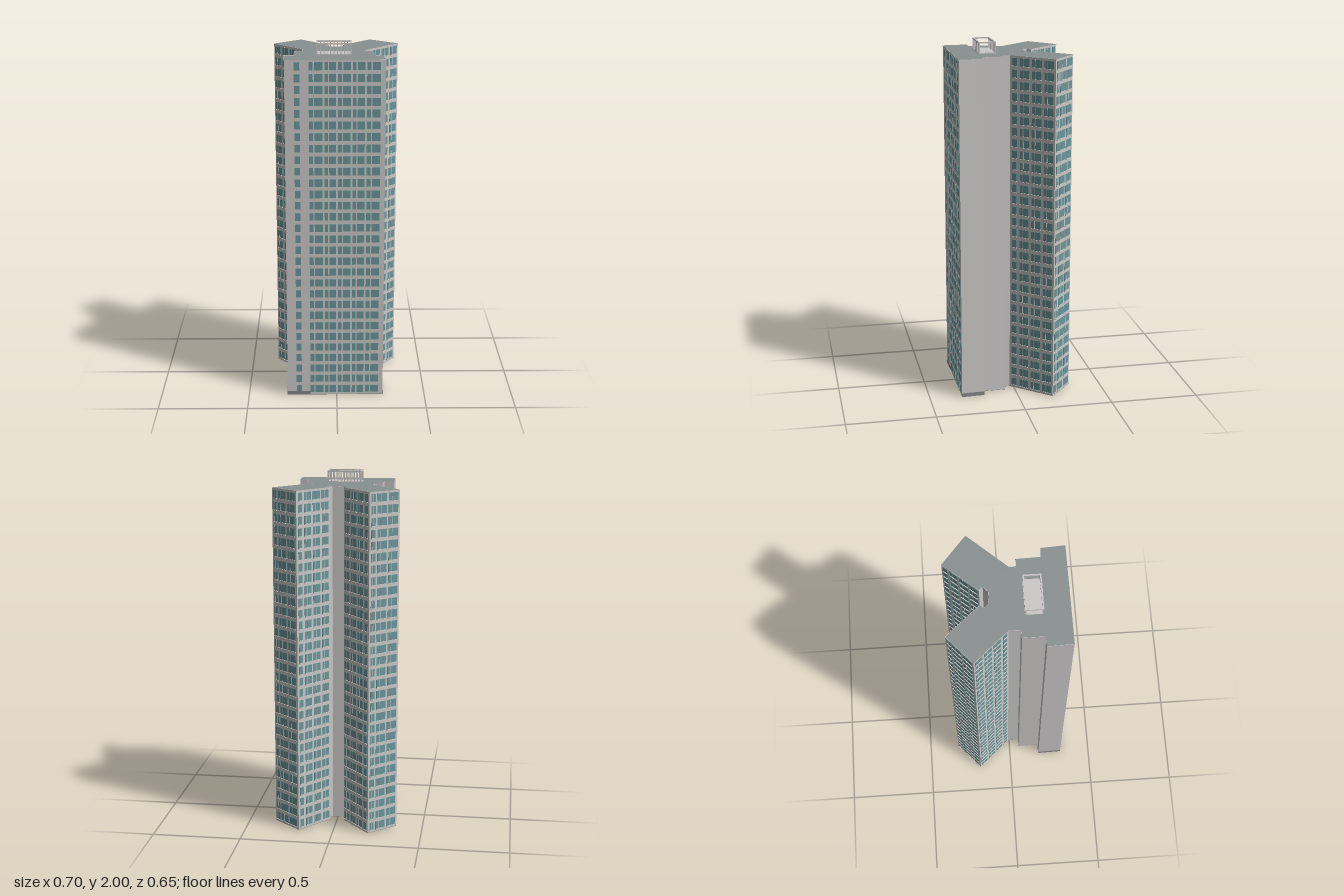
import * as THREE from 'three';
import { mergeGeometries } from 'three/addons/utils/BufferGeometryUtils.js';

const mat = (name, color) => {
  const m = new THREE.MeshStandardMaterial({ color });
  m.name = name;
  return m;
};

const HEIGHT = 1.935, FLOORS = 30, PITCH = 0.0643;

// Footprint corners [x, z], running from the front edge round by the model's left
const PLAN = [
  [-0.28, 0.32], [0.262, 0.317], [0.255, 0.188], [0.205, 0.184], [0.202, 0.057], [0.16, 0.057],
  [0.16, 0.02], [0.35, -0.192], [0.195, -0.324], [0.04, -0.14], [0.06, -0.12], [0.03, -0.093],
  [-0.035, -0.093], [-0.058, -0.12], [-0.04, -0.14], [-0.2, -0.324], [-0.35, -0.19], [-0.187, -0.005],
  [-0.187, 0.057], [-0.23, 0.06], [-0.23, 0.182], [-0.284, 0.182],
];

// Glazed facades: first corner, window columns as fractions of the wall, projecting sills
const END = [[0.06, 0.2], [0.26, 0.57], [0.63, 0.94]];
const WING = [[0.05, 0.16], [0.23, 0.43], [0.49, 0.7], [0.76, 0.96]];
const flip = (cols) => cols.map(([a, b]) => [1 - b, 1 - a]);
const FACADES = [
  { name: 'front', wall: 0, sills: false,
    cols: [[0.095, 0.15], [0.24, 0.375], [0.395, 0.51], [0.53, 0.655], [0.675, 0.795], [0.815, 0.95]] },
  { name: 'leftWingOuter', wall: 6, sills: true, cols: WING },
  { name: 'leftWingEnd', wall: 7, sills: true, cols: END },
  { name: 'leftWingInner', wall: 8, sills: true, cols: WING },
  { name: 'rightWingInner', wall: 14, sills: true, cols: flip(WING) },
  { name: 'rightWingEnd', wall: 15, sills: true, cols: END },
  { name: 'rightWingOuter', wall: 16, sills: true, cols: flip(WING) },
];

// Upright prism over the footprint
function prism(bottom, height) {
  const shape = new THREE.Shape(PLAN.map(([x, z]) => new THREE.Vector2(x, -z)));
  const g = new THREE.ExtrudeGeometry(shape, { depth: height, bevelEnabled: false });
  return g.rotateX(-Math.PI / 2).translate(0, bottom, 0);
}

// Box set on a wall: u0..u1 along it (fractions), y0..y1 up, thickness outward
function onWall(i, u0, u1, y0, y1, thick) {
  const [ax, az] = PLAN[i], [bx, bz] = PLAN[(i + 1) % PLAN.length];
  const dx = bx - ax, dz = bz - az, u = (u0 + u1) / 2;
  const g = new THREE.BoxGeometry((u1 - u0) * Math.hypot(dx, dz), y1 - y0, thick);
  g.translate(0, 0, thick / 2).rotateY(Math.atan2(-dz, dx));
  return g.translate(ax + dx * u, (y0 + y1) / 2, az + dz * u);
}

export function createModel() {
  const model = new THREE.Group();
  model.name = 'towerBlock';
  const wall = mat('pale concrete', 0xcbc9c8);
  const glass = mat('teal glass', 0x6a969a);
  const roof = mat('roof grey', 0x899190);
  const plinthGrey = mat('plinth grey', 0x858585);
  const add = (name, geometry, material) => {
    const mesh = new THREE.Mesh(geometry, material);
    mesh.name = name;
    model.add(mesh);
  };

  // Tower shaft with its roof and underside
  add('walls', prism(0.002, HEIGHT - 0.004), wall);
  add('underside', prism(0, 0.002), roof);
  add('roofDeck', prism(HEIGHT - 0.002, 0.002), roof);

  // Pale coping round the roof edge
  add('coping', mergeGeometries(PLAN.map((p, i) => onWall(i, 0, 1, HEIGHT - 0.006, HEIGHT, 0.0015))), wall);

  // Grey plinth under the blank front bay and blank side walls
  const plinths = [[0, 0, 0.24], [1, 0, 1], [20, 0, 1], [21, 0, 1]];
  add('plinth', mergeGeometries(plinths.map(([i, a, b]) => onWall(i, a, b, 0, 0.022, 0.002))), plinthGrey);

  // Rows of windows, each with a slim mullion, and sills on the wings
  for (const { name, wall: i, cols, sills } of FACADES) {
    const panes = [], trim = [];
    for (let f = 0; f < FLOORS; f++) {
      const top = HEIGHT - 0.012 - f * PITCH, bottom = top - 0.043;
      for (const [a, b] of cols) {
        panes.push(onWall(i, a, b, bottom, top, 0.002));
        const m = a + (b - a) * 0.35;
        if (b - a > 0.11) trim.push(onWall(i, m - 0.006, m + 0.006, bottom, top, 0.003));
        if (sills) trim.push(onWall(i, a, b, bottom - 0.005, bottom, 0.006));
      }
    }
    add(name + 'Windows', mergeGeometries(panes), glass);
    add(name + 'Trim', mergeGeometries(trim), wall);
  }

  // Rooftop enclosure: pale floor, top rails, and bars along front and back
  const x0 = -0.11, x1 = 0.084, z0 = 0.083, z1 = 0.179, t = 0.008;
  const box = (w, h, d, x, y, z) => new THREE.BoxGeometry(w, h, d).translate(x, y, z);
  const cx = (x0 + x1) / 2, cz = (z0 + z1) / 2;
  add('enclosureFloor', box(x1 - x0, 0.006, z1 - z0, cx, HEIGHT + 0.003, cz), wall);
  const rails = [];
  for (const z of [z0 + t / 2, z1 - t / 2]) {
    rails.push(box(x1 - x0, t, t, cx, 2 - t / 2, z));
    for (let k = 0; k <= 10; k++) {
      const w = k % 10 ? 0.005 : t;
      rails.push(box(w, 2 - HEIGHT, w, x0 + t / 2 + (x1 - x0 - t) * k / 10, (2 + HEIGHT) / 2, z));
    }
  }
  for (const x of [x0 + t / 2, x1 - t / 2]) rails.push(box(t, t, z1 - z0, x, 2 - t / 2, cz));
  add('enclosureRails', mergeGeometries(rails), wall);

  return model;
}
